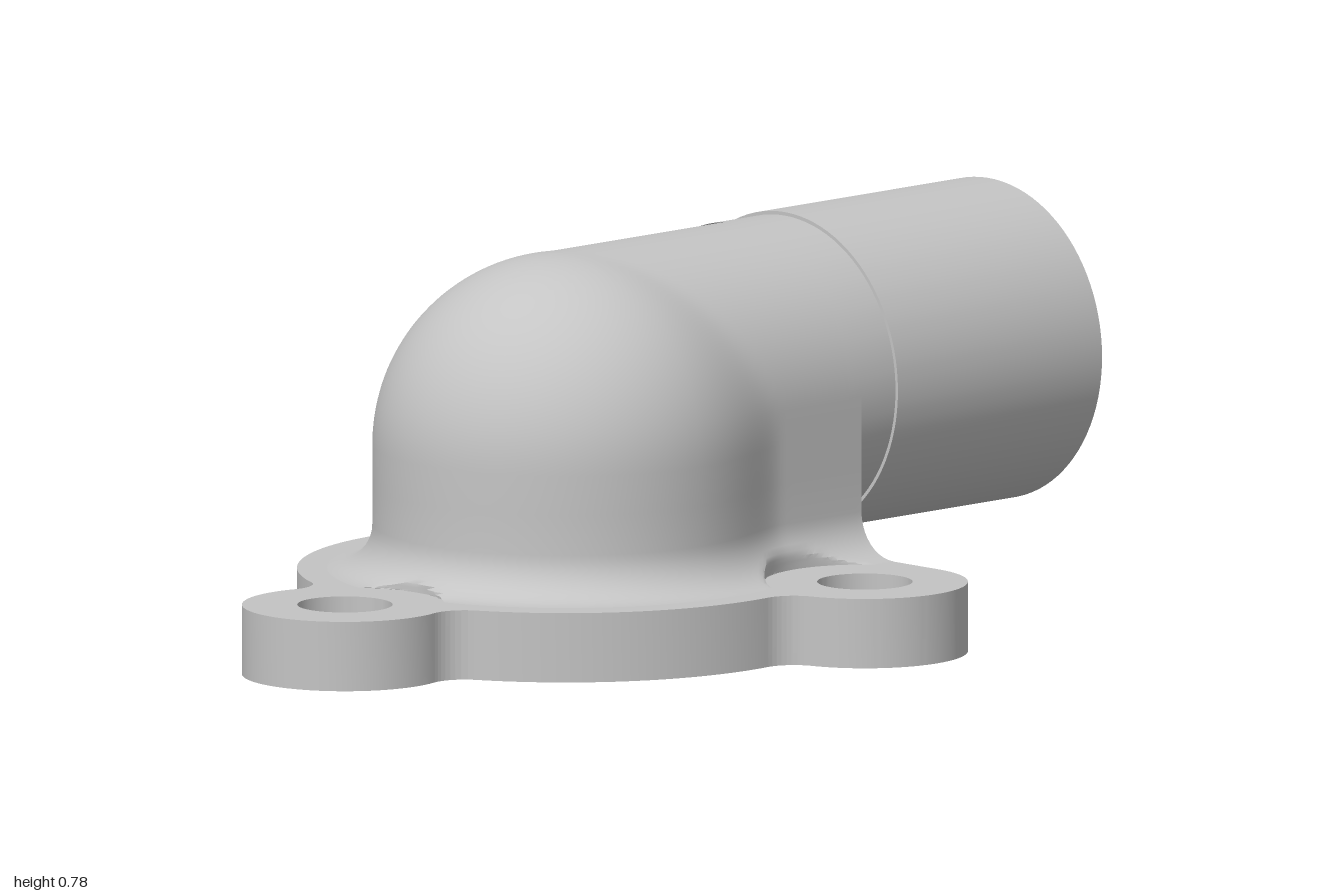
import * as THREE from 'three';
import { toCreasedNormals } from 'three/addons/utils/BufferGeometryUtils.js';

const CX = -0.18;            // axis of the vertical bore
const END = 0.335;           // flat end of the body and flange
const TOP = 0.14;            // flange thickness
const BODY_R = 0.385, DOME_Y = 0.39;
const PIPE_R = 0.315, PIPE_Y = 0.46;
const FLANGE_R = 0.535, LOBE_R = 0.205, LOBE_D = 0.617, HOLE_R = 0.095;
const FILLET = 0.09;
const LOBES = [Math.PI / 3, Math.PI, Math.PI * 5 / 3];
const lobeX = t => CX + LOBE_D * Math.cos(t);
const lobeZ = t => LOBE_D * Math.sin(t);

const gray = new THREE.MeshStandardMaterial({ color: 0xc4c4c4, side: THREE.DoubleSide });
gray.name = 'castGray';

function add(group, name, geometry) {
  const mesh = new THREE.Mesh(geometry, gray);
  mesh.name = name;
  group.add(mesh);
  return mesh;
}

const lathe = (points, segments = 96) => toCreasedNormals(
  new THREE.LatheGeometry(points.map(p => new THREE.Vector2(p[0], p[1])), segments), 0.5);

// Three-lobed flange, with tangent fillets between lobes and rim
function flangeGeometry() {
  const f = 0.07, a = FLANGE_R + f, b = LOBE_R + f;
  const alpha = Math.acos((a * a + LOBE_D ** 2 - b * b) / (2 * a * LOBE_D));
  const beta = Math.acos((b * b + LOBE_D ** 2 - a * a) / (2 * b * LOBE_D));
  const shape = new THREE.Shape();
  LOBES.forEach((t, i) => {
    if (i > 0) {
      const g = t - alpha;
      shape.absarc(CX, 0, FLANGE_R, LOBES[i - 1] + alpha, g, false);
      shape.absarc(CX + a * Math.cos(g), a * Math.sin(g), f, g + Math.PI, t + beta, true);
    }
    const start = i === 0 ? 0 : t + Math.PI + beta - 2 * Math.PI;
    const end = i === 2 ? 2 * Math.PI : t + Math.PI - beta;
    shape.absarc(lobeX(t), lobeZ(t), LOBE_R, start, end, false);
    if (i < 2) {
      const g = t + alpha;
      shape.absarc(CX + a * Math.cos(g), a * Math.sin(g), f, t - beta, g + Math.PI, true);
    }
  });
  const hole = (x, y, r) => shape.holes.push(new THREE.Path().absarc(x, y, r, 0, Math.PI * 2, true));
  LOBES.forEach(t => hole(lobeX(t), lobeZ(t), HOLE_R));
  hole(CX, 0, 0.49);
  const geo = new THREE.ExtrudeGeometry(shape, { depth: TOP, bevelEnabled: false, curveSegments: 32 });
  geo.rotateX(Math.PI / 2).translate(0, TOP, 0);
  return toCreasedNormals(geo, 0.5);
}

// Horizontal outline of the body: round back, blended into straight sides
function outline(r, w) {
  const half = [];
  const k = Math.min(0.08, Math.abs(r - w));
  for (let i = 0; i < 32; i++) {
    const x = END + (CX - END) * i / 32;
    const c = Math.sqrt(Math.max(0, r * r - (x - CX) ** 2));
    const h = k > 1e-6 ? Math.max(k - Math.abs(c - w), 0) / k : 0;
    half.push([x, Math.max(c, w) + h * h * k / 4]);
  }
  for (let i = 0; i < 24; i++) {
    const t = Math.PI / 2 * (1 + i / 24);
    half.push([CX + r * Math.cos(t), r * Math.sin(t)]);
  }
  const other = half.map(([x, z]) => [x, -z]).reverse();
  return [...half, [CX - r, 0], ...other];
}

// Body wall lofted from base fillet to dome top
function bodyGeometry() {
  const rows = [];
  for (let i = 0; i <= 10; i++) {
    const t = Math.PI / 2 * i / 10, d = FILLET * (1 - Math.sin(t));
    rows.push([TOP + FILLET * (1 - Math.cos(t)), BODY_R + d, PIPE_R + d]);
  }
  for (const y of [0.31, DOME_Y, 0.415, 0.44]) {
    rows.push([y, Math.sqrt(BODY_R ** 2 - Math.max(0, y - DOME_Y) ** 2), PIPE_R]);
  }
  for (let i = 0; i <= 32; i++) {
    const y = PIPE_Y + PIPE_R * Math.sin(Math.PI / 2 * i / 32);
    rows.push([y, Math.sqrt(Math.max(0, BODY_R ** 2 - (y - DOME_Y) ** 2)),
      Math.sqrt(Math.max(0, PIPE_R ** 2 - (y - PIPE_Y) ** 2))]);
  }
  const pos = [], index = [];
  let n = 0;
  rows.forEach(([y, r, w], j) => {
    const ring = outline(r, w);
    n = ring.length;
    ring.forEach(([x, z]) => {
      // spot faces around the bolt holes cut into the base fillet
      for (const t of LOBES) {
        const dx = x - lobeX(t), dz = z - lobeZ(t), d = Math.hypot(dx, dz);
        if (d < 0.2) { x = lobeX(t) + dx * 0.2 / d; z = lobeZ(t) + dz * 0.2 / d; }
      }
      pos.push(x, y, z);
    });
    if (j === 0) return;
    for (let i = 0; i < n - 1; i++) {
      const a = (j - 1) * n + i, b = a + n;
      index.push(a, b, a + 1, a + 1, b, b + 1);
    }
  });
  const geo = new THREE.BufferGeometry();
  geo.setAttribute('position', new THREE.Float32BufferAttribute(pos, 3));
  geo.setIndex(index);
  return toCreasedNormals(geo, 0.6);
}

// Flat end of the body below the pipe
function endFaceGeometry() {
  const s = new THREE.Shape(), w = PIPE_R + FILLET, y = TOP + FILLET;
  s.moveTo(-w, TOP);
  s.lineTo(w, TOP);
  s.absarc(w, y, FILLET, -Math.PI / 2, -Math.PI, true);
  s.absarc(0, PIPE_Y, PIPE_R, 0, Math.PI, false);
  s.absarc(-w, y, FILLET, 0, -Math.PI / 2, true);
  s.holes.push(new THREE.Path().absarc(0, PIPE_Y, 0.25, 0, Math.PI * 2, true));
  return new THREE.ShapeGeometry(s, 32).rotateY(Math.PI / 2).translate(END, 0, 0);
}

// Seal groove, lip and domed chamber, opened where the pipe bore enters
function chamberGeometry() {
  const profile = [[0.37, TOP], [0.49, TOP], [0.49, 0], [0.48, 0.045], [0.455, 0.065],
    [0.425, 0.065], [0.405, 0.045], [0.4, 0], [0.36, 0], [0.345, 0.02]];
  for (let y = 0.05; y < DOME_Y; y += 0.02) profile.push([0.345, y]);
  for (let i = 0; i <= 24; i++) {
    const t = Math.PI / 2 * i / 24;
    profile.push([0.345 * Math.cos(t), DOME_Y + 0.345 * Math.sin(t)]);
  }
  const geo = lathe(profile, 128).translate(CX, 0, 0);
  const p = geo.attributes.position, nor = geo.attributes.normal;
  const keepP = [], keepN = [];
  for (let i = 0; i < p.count; i += 3) {
    const mid = f => (p[f](i) + p[f](i + 1) + p[f](i + 2)) / 3;
    if (mid('getX') > CX && Math.hypot(mid('getY') - PIPE_Y, mid('getZ')) < 0.2) continue;
    for (let k = i; k < i + 3; k++) {
      keepP.push(p.getX(k), p.getY(k), p.getZ(k));
      keepN.push(nor.getX(k), nor.getY(k), nor.getZ(k));
    }
  }
  const out = new THREE.BufferGeometry();
  out.setAttribute('position', new THREE.Float32BufferAttribute(keepP, 3));
  out.setAttribute('normal', new THREE.Float32BufferAttribute(keepN, 3));
  return out;
}

export function createModel() {
  const group = new THREE.Group();
  group.name = 'pipeElbow';
  add(group, 'flange', flangeGeometry());
  add(group, 'elbowBody', bodyGeometry());
  add(group, 'bodyEndFace', endFaceGeometry());
  add(group, 'innerChamber', chamberGeometry());

  // Outlet pipe: neck, sleeve, annular end groove and inner tube with bore
  const pipe = add(group, 'outletPipe', lathe([
    [PIPE_R, 0.3], [PIPE_R, 0.43], [0.322, 0.43], [0.322, 1], [0.302, 1], [0.285, 0.86],
    [0.245, 0.86], [0.23, 0.98], [0.203, 0.98], [0.203, 0.08]]));
  pipe.rotation.z = -Math.PI / 2;
  pipe.position.y = PIPE_Y + 0.002;
  return group;
}
